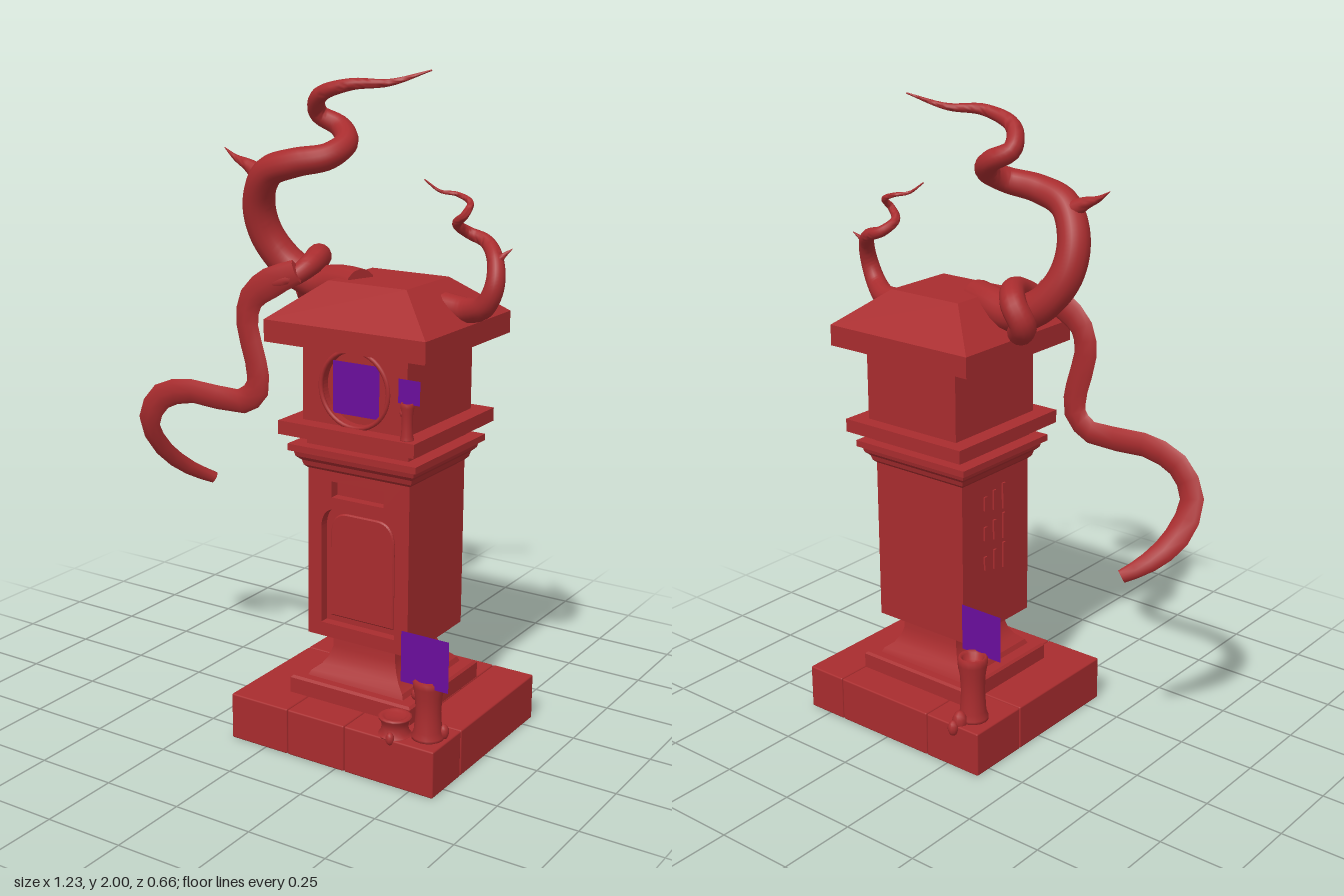
import * as THREE from 'three';
import { toCreasedNormals } from 'three/addons/utils/BufferGeometryUtils.js';
import { RoundedBoxGeometry } from 'three/addons/geometries/RoundedBoxGeometry.js';

const V = (x, y, z) => new THREE.Vector3(x, y, z);
const CX = 0.2275, CZ = 0.004; // axis of the tower

export function createModel() {
  const model = new THREE.Group();
  const red = new THREE.MeshStandardMaterial({ color: 0xa82c2e });
  const purple = new THREE.MeshStandardMaterial({ color: 0x6a0d9c, side: THREE.DoubleSide });

  function add(name, geometry, x = 0, y = 0, z = 0, material = red, parent = model) {
    const mesh = new THREE.Mesh(geometry, material);
    mesh.name = name;
    mesh.position.set(x, y, z);
    parent.add(mesh);
    return mesh;
  }

  // Closed skin over a row of rings that turn right-handed about the travel direction
  function skin(rings, crease) {
    const n = rings[0].length, index = [], pos = [];
    rings.forEach((r) => r.forEach((p) => pos.push(p.x, p.y, p.z)));
    for (let i = 0; i < rings.length - 1; i++) {
      for (let j = 0; j < n; j++) {
        const a = i * n + j, b = i * n + (j + 1) % n;
        index.push(a, b, b + n, a, b + n, a + n);
      }
    }
    const last = (rings.length - 1) * n;
    for (let j = 1; j < n - 1; j++) index.push(0, j + 1, j, last, last + j, last + j + 1);
    const g = new THREE.BufferGeometry();
    g.setAttribute('position', new THREE.Float32BufferAttribute(pos, 3));
    g.setIndex(index);
    return toCreasedNormals(g, crease);
  }

  // Stack of rectangles: [y, half width, half depth]
  const stack = (sections, z = CZ) => skin(sections.map(([y, w, d]) =>
    [V(CX - w, y, z + d), V(CX + w, y, z + d), V(CX + w, y, z - d), V(CX - w, y, z - d)]), 0.4);

  // Round tapering horn along a curve
  function horn(points, r0, r1, power = 1, steps = 70, sides = 14) {
    const curve = new THREE.CatmullRomCurve3(points.map((p) => V(...p)));
    const f = curve.computeFrenetFrames(steps);
    const rings = [];
    for (let i = 0; i <= steps; i++) {
      const u = i / steps, r = r1 + (r0 - r1) * (1 - u ** power), c = curve.getPointAt(u);
      rings.push(Array.from({ length: sides }, (_, j) => {
        const a = j / sides * Math.PI * 2;
        return c.clone().addScaledVector(f.normals[i], r * Math.cos(a))
          .addScaledVector(f.binormals[i], r * Math.sin(a));
      }));
    }
    return skin(rings, 1.2);
  }

  // Flat tentacle: points are [x, y, z, half width]
  function ribbon(points, thick) {
    const curve = new THREE.CatmullRomCurve3(points.map(([x, y, z]) => V(x, y, z)));
    const n = (points.length - 1) * 2, rings = [];
    for (let i = 0; i <= n; i++) {
      const c = curve.getPoint(i / n), t = curve.getTangent(i / n);
      const w = V(0, 0, 1).cross(t).normalize(), b = t.clone().cross(w);
      const h = (points[i >> 1][3] + points[(i + 1) >> 1][3]) / 2;
      rings.push(Array.from({ length: 8 }, (_, j) => {
        const a = j / 8 * Math.PI * 2;
        return c.clone().addScaledVector(w, h * Math.cos(a)).addScaledVector(b, thick * Math.sin(a));
      }));
    }
    return skin(rings, 0.9);
  }

  const rectShape = (x0, y0, x1, y1, T = THREE.Shape) => new T(
    [[x0, y0], [x1, y0], [x1, y1], [x0, y1]].map(([x, y]) => new THREE.Vector2(x, y)));

  // Paving blocks of the base: [x0, x1, z0, z1]
  [
    [-0.125, 0.08, -0.1, 0.32], [0.08, 0.28, -0.1, 0.32], [0.28, 0.58, 0.155, 0.32],
    [0.44, 0.58, -0.31, 0.155], [0.08, 0.44, -0.31, -0.1], [-0.125, 0.08, -0.31, -0.1],
    [0.28, 0.44, -0.1, 0.155],
  ].forEach(([x0, x1, z0, z1]) => add('baseBlock',
    new RoundedBoxGeometry(x1 - x0 - 0.002, 0.145, z1 - z0 - 0.002, 2, 0.005),
    (x0 + x1) / 2, 0.0725, (z0 + z1) / 2));

  // Pedestal: step with a flared foot
  add('pedestal', stack([
    [0.14, 0.21, 0.205], [0.193, 0.21, 0.205], [0.2, 0.203, 0.198], [0.2, 0.167, 0.172],
    [0.215, 0.16, 0.165], [0.235, 0.135, 0.145], [0.26, 0.118, 0.13], [0.29, 0.109, 0.122],
    [0.34, 0.108, 0.12],
  ]));

  // Column with a recessed arched door and a slot above it
  add('column', stack([[0.335, 0.173, 0.146], [0.88, 0.173, 0.146]], -0.011));
  const front = rectShape(CX - 0.173, 0.335, CX + 0.173, 0.88);
  const arch = (grow, T) => {
    const w = 0.127 + grow, top = 0.742 + grow, s = new T();
    s.moveTo(CX - w, 0.378 - grow);
    s.lineTo(CX + w, 0.378 - grow);
    s.lineTo(CX + w, top - 0.07);
    s.quadraticCurveTo(CX + w, top, CX + w - 0.055, top);
    s.lineTo(CX - w + 0.055, top);
    s.quadraticCurveTo(CX - w, top, CX - w, top - 0.07);
    s.closePath();
    return s;
  };
  front.holes.push(arch(0, THREE.Path), rectShape(0.137, 0.777, 0.314, 0.826, THREE.Path));
  add('columnFront', new THREE.ExtrudeGeometry(front, { depth: 0.032, bevelEnabled: false }), 0, 0, 0.133);
  add('doorPanel', new THREE.ExtrudeGeometry(arch(-0.022, THREE.Shape), {
    depth: 0.004, bevelSize: 0.004, bevelThickness: 0.004, bevelSegments: 1,
  }), 0, 0, 0.134);

  // Shallow chips on the right side of the column
  for (let i = 0; i < 9; i++) {
    add('sideChip', new THREE.BoxGeometry(0.01, 0.045 + 0.02 * (i % 3), 0.012),
      CX - 0.174, 0.57 + 0.1 * Math.floor(i / 3), -0.05 + 0.045 * (i % 3));
  }

  // Cornice, neck and ledge
  add('cornice', stack([
    [0.855, 0.173, 0.16], [0.865, 0.183, 0.17], [0.88, 0.187, 0.174], [0.893, 0.2, 0.188],
    [0.908, 0.203, 0.192], [0.912, 0.217, 0.205], [0.932, 0.217, 0.205], [0.932, 0.172, 0.168],
    [0.97, 0.172, 0.168],
  ]));
  add('ledge', stack([[0.967, 0.228, 0.235], [1.008, 0.228, 0.235]]));

  // Clock house with a round recess
  add('clockHouse', stack([[1.0, 0.175, 0.172], [1.25, 0.175, 0.172]], -0.013));
  const wall = rectShape(CX - 0.175, 1.005, CX + 0.175, 1.245);
  wall.holes.push(new THREE.Path().absarc(CX, 1.12, 0.108, 0, Math.PI * 2, true));
  add('clockWall', new THREE.ExtrudeGeometry(wall, { depth: 0.03, bevelEnabled: false, curveSegments: 32 }), 0, 0, 0.158);
  add('clockRing', new THREE.TorusGeometry(0.113, 0.007, 8, 40), CX, 1.12, 0.188);
  add('clockGlow', new THREE.PlaneGeometry(0.155, 0.155), CX, 1.118, 0.178, purple);

  // Hipped roof
  add('roof', stack([
    [1.24, 0.267, 0.248], [1.305, 0.267, 0.248], [1.412, 0.13, 0.12],
  ]));

  // Candles: waxy stems with a hollow top, drips and a flat flame
  function candle(x, y, z, r, h, flame, drips) {
    const g = new THREE.Group();
    g.name = 'candle';
    g.position.set(x, y, z);
    model.add(g);
    const profile = [[0, 0], [1.12, 0], [1.1, 0.05], [0.95, 0.14], [0.86, 0.45], [0.92, 0.7],
      [1.08, 0.88], [1.1, 0.96], [0.95, 1], [0.75, 0.97], [0.6, 0.88], [0, 0.86]];
    const geo = new THREE.LatheGeometry(profile.map(([a, b]) => new THREE.Vector2(a * r, b * h)), 16);
    add('candleStem', geo, 0, 0, 0, red, g);
    drips.forEach(([dx, dy, dz, s]) => {
      const d = add('waxDrip', new THREE.SphereGeometry(s, 10, 8), dx, dy, dz, red, g);
      d.scale.y = 1.5;
    });
    if (flame) add('candleFlame', new THREE.PlaneGeometry(flame[3], flame[3]), ...flame.slice(0, 3), purple, g);
  }
  candle(-0.047, 0.143, -0.235, 0.043, 0.215, [-0.005, 0.277, 0.035, 0.15],
    [[0.015, -0.005, -0.078, 0.017], [0.01, 0.008, -0.052, 0.024], [0.035, 0.17, -0.01, 0.012]]);
  candle(0.517, 0.143, 0.24, 0.043, 0.185, [0.002, 0.245, 0.03, 0.155],
    [[-0.038, 0.13, 0.01, 0.012], [0.04, 0.02, -0.02, 0.016]]);
  candle(0.426, 0.143, 0.272, 0.045, 0.06, null, [[0.01, 0.005, 0.045, 0.013]]);
  candle(0.415, 1.005, 0.208, 0.018, 0.11, [0.005, 0.14, 0, 0.07], [[-0.012, 0.08, 0.008, 0.007]]);

  // Large horn on the right of the roof
  add('largeHorn', horn([
    [0.16, 1.385, 0.05], [0.08, 1.385, 0.02], [-0.02, 1.375, 0], [-0.12, 1.42, 0.005],
    [-0.185, 1.51, 0.03], [-0.19, 1.61, 0.06], [-0.135, 1.7, 0.09], [-0.04, 1.735, 0.09],
    [0.05, 1.755, 0.055], [0.07, 1.79, -0.01], [0.02, 1.83, -0.055], [-0.04, 1.865, -0.035],
    [-0.01, 1.92, 0.01], [0.1, 1.957, 0.015], [0.2, 1.963, -0.035], [0.305, 1.998, -0.09],
  ], 0.055, 0.002, 2, 120));
  add('largeHornSpike', horn([[-0.15, 1.68, 0.08], [-0.21, 1.715, 0.08], [-0.26, 1.735, 0.078], [-0.302, 1.762, 0.075]],
    0.04, 0.001, 0.7, 12));

  // Tentacle coiled round the horn, then hanging as a flat ribbon
  add('tentacleCoil', horn([
    [-0.06, 1.33, -0.02], [-0.1, 1.37, -0.06], [-0.07, 1.425, -0.065], [-0.025, 1.45, -0.01],
    [-0.01, 1.435, 0.06], [-0.035, 1.405, 0.11], [-0.09, 1.385, 0.128],
  ], 0.04, 0.02, 3, 36));
  add('tentacle', ribbon([
    [-0.015, 1.425, 0.12, 0.036], [-0.1, 1.385, 0.133, 0.046], [-0.17, 1.33, 0.133, 0.042],
    [-0.185, 1.25, 0.133, 0.04], [-0.155, 1.14, 0.133, 0.04], [-0.15, 1.06, 0.133, 0.042],
    [-0.21, 1.01, 0.133, 0.038], [-0.4, 1.015, 0.133, 0.038], [-0.52, 0.98, 0.133, 0.042],
    [-0.578, 0.89, 0.125, 0.042], [-0.565, 0.785, 0.07, 0.04], [-0.515, 0.715, 0.005, 0.03],
    [-0.46, 0.675, -0.055, 0.02],
  ], 0.016));

  // Small horn on the left of the roof
  add('smallHorn', horn([
    [0.4, 1.345, -0.02], [0.48, 1.345, -0.01], [0.55, 1.37, 0.025], [0.582, 1.43, 0.03],
    [0.57, 1.495, 0.005], [0.52, 1.54, -0.035], [0.465, 1.56, -0.035], [0.45, 1.59, 0.01],
    [0.485, 1.62, 0.03], [0.485, 1.65, 0], [0.44, 1.67, -0.005], [0.4, 1.678, 0.02], [0.36, 1.71, 0.04],
  ], 0.042, 0.002, 0.9, 90));
  add('smallHornSpike', horn([[0.565, 1.48, 0.01], [0.59, 1.51, 0.005], [0.613, 1.532, -0.01]], 0.02, 0.001, 0.8, 8));

  return model;
}
